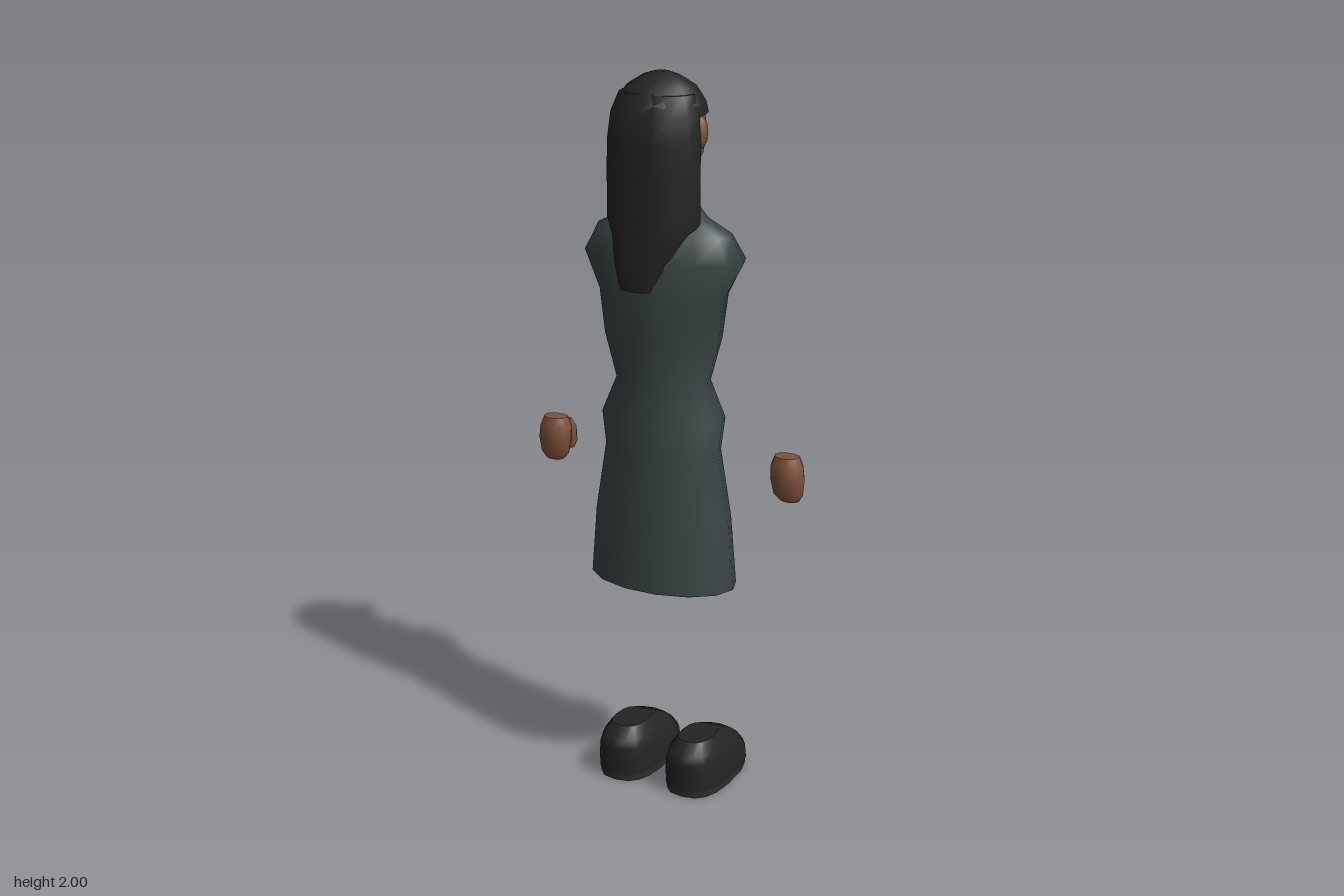
import * as THREE from 'three';

const mat = (name, color, side = THREE.FrontSide) => {
  const m = new THREE.MeshStandardMaterial({ color, side });
  m.name = name;
  return m;
};

// Stack of oval rings, bottom to top: [y, centreX, centreZ, halfWidth, backDepth, frontDepth].
// Power below 1 makes the ovals boxier. The front is -z.
function loft(rings, n = 14, power = 1) {
  const pos = [], idx = [];
  const bend = v => Math.sign(v) * Math.abs(v) ** power;
  const addRing = ([y, cx, cz, rx, back, front]) => {
    for (let j = 0; j < n; j++) {
      const a = (j / n) * Math.PI * 2, s = bend(Math.sin(a));
      pos.push(cx + rx * bend(Math.cos(a)), y, cz + s * (s > 0 ? back : front));
    }
  };
  rings.forEach(addRing);
  for (let i = 0; i < rings.length - 1; i++) {
    for (let j = 0; j < n; j++) {
      const a = i * n + j, b = i * n + (j + 1) % n;
      idx.push(a, a + n, b, b, a + n, b + n);
    }
  }
  // Flat end caps with their own vertices
  [[rings[0], false], [rings[rings.length - 1], true]].forEach(([r, top]) => {
    const start = pos.length / 3;
    addRing(r);
    pos.push(r[1], r[0], r[2]);
    for (let j = 0; j < n; j++) {
      const a = start + j, b = start + (j + 1) % n;
      idx.push(start + n, top ? b : a, top ? a : b);
    }
  });
  const g = new THREE.BufferGeometry();
  g.setAttribute('position', new THREE.Float32BufferAttribute(pos, 3));
  g.setIndex(idx);
  g.computeVertexNormals();
  return g;
}

// Thin cloth sheet: a fan of triangles around the first corner
function sheet(points) {
  const g = new THREE.BufferGeometry();
  g.setAttribute('position', new THREE.Float32BufferAttribute(points.flat(), 3));
  const idx = [];
  for (let i = 1; i < points.length - 1; i++) idx.push(0, i + 1, i);
  g.setIndex(idx);
  g.computeVertexNormals();
  return g;
}

export function createModel() {
  const model = new THREE.Group();
  model.name = 'figure';
  const dressMat = mat('dark slate cloth', 0x3a4444);
  const lapelMat = mat('slate lapel', 0x374141, THREE.DoubleSide);
  const skin = mat('brown skin', 0x80523c);
  const hairMat = mat('black hair', 0x252525);
  const shoeMat = mat('black leather', 0x242424);
  const soleMat = mat('dark sole', 0x2e3030);
  const shirtMat = mat('beige shirt', 0xa8a28c, THREE.DoubleSide);
  const eyeMat = mat('eye white', 0xb0b0b0);
  const lipMat = mat('dark lips', 0x5c3029);

  const add = (name, geo, material, x = 0, y = 0, z = 0) => {
    const m = new THREE.Mesh(geo, material);
    m.name = name;
    m.position.set(x, y, z);
    model.add(m);
    return m;
  };

  // Dress with pinched waist and wide shoulders
  add('dress', loft([
    [0.61, 0, 0.04, 0.215, 0.135, 0.135],
    [0.80, 0, 0.04, 0.198, 0.133, 0.128],
    [0.99, 0, 0.04, 0.166, 0.12, 0.112],
    [1.08, 0, 0.04, 0.178, 0.12, 0.12],
    [1.18, 0, 0.04, 0.132, 0.105, 0.105],
    [1.30, 0, 0.04, 0.166, 0.12, 0.12],
    [1.42, 0, 0.04, 0.182, 0.123, 0.133],
    [1.52, 0, 0.035, 0.235, 0.122, 0.13],
    [1.585, 0, 0.035, 0.2, 0.095, 0.09],
    [1.62, 0, 0.035, 0.13, 0.07, 0.075],
    [1.65, 0, 0.03, 0.085, 0.05, 0.062],
  ], 14), dressMat);

  // Neck and head
  add('neck', new THREE.CylinderGeometry(0.05, 0.056, 0.16, 12), skin, 0, 1.68, 0.028);
  add('head', loft([
    [1.725, 0, 0.02, 0.045, 0.045, 0.055],
    [1.745, 0, 0.02, 0.075, 0.06, 0.072],
    [1.79, 0, 0.015, 0.097, 0.08, 0.073],
    [1.85, 0, 0.015, 0.108, 0.085, 0.076],
    [1.92, 0, 0.02, 0.1, 0.085, 0.07],
  ], 16), skin);
  add('nose', loft([
    [1.80, 0, -0.05, 0.016, 0.01, 0.022],
    [1.825, 0, -0.05, 0.02, 0.01, 0.067],
    [1.845, 0, -0.05, 0.014, 0.01, 0.045],
    [1.885, 0, -0.05, 0.008, 0.01, 0.018],
  ], 8), skin);
  add('lips', new THREE.BoxGeometry(0.046, 0.015, 0.009), lipMat, 0, 1.775, -0.055);

  // Hair: cap over the crown and a long fall down the back
  add('hairCap', loft([
    [1.895, 0, 0.05, 0.124, 0.115, 0.114],
    [1.925, 0, 0.05, 0.12, 0.108, 0.102],
    [1.965, 0, 0.05, 0.094, 0.078, 0.078],
    [1.99, 0, 0.05, 0.052, 0.042, 0.045],
    [2.0, 0, 0.05, 0.02, 0.015, 0.02],
  ], 12), hairMat);
  add('hairFall', loft([
    [1.44, -0.015, 0.14, 0.058, 0.025, 0.01],
    [1.5, -0.01, 0.13, 0.078, 0.043, 0.01],
    [1.58, -0.002, 0.095, 0.108, 0.077, 0.01],
    [1.62, -0.002, 0.075, 0.13, 0.098, 0.004],
    [1.75, -0.002, 0.075, 0.13, 0.1, 0.004],
    [1.83, 0, 0.075, 0.13, 0.099, 0.004],
    [1.9, 0, 0.07, 0.122, 0.097, 0.004],
    [1.95, 0, 0.065, 0.105, 0.072, 0.004],
  ], 14, 0.85), hairMat);

  // Dark lapel on one side of the chest
  add('lapel', sheet([[0.045, 1.61, -0.068], [0.015, 1.5, -0.108],
    [0.07, 1.34, -0.096], [0.122, 1.53, -0.098]]), lapelMat);

  for (const s of [1, -1]) {
    const side = s > 0 ? 'left' : 'right';

    // Ears, eyes and brows
    add(side + 'Ear', new THREE.SphereGeometry(1, 8, 6), skin, s * 0.112, 1.85, 0.042)
      .scale.set(0.016, 0.042, 0.024);
    const facePlate = (name, w, h, y, z, material, tilt = 0) => {
      const m = add(side + name, new THREE.BoxGeometry(w, h, 0.008), material, s * 0.042, y, z);
      m.rotation.set(0, -s * 0.27, s * tilt);
    };
    facePlate('Eye', 0.032, 0.012, 1.857, -0.053, eyeMat);
    facePlate('Pupil', 0.011, 0.012, 1.857, -0.0545, hairMat);
    facePlate('Brow', 0.044, 0.008, 1.879, -0.054, hairMat, 0.15);

    // Pointed shirt collar
    add(side + 'Collar', sheet([[s * 0.03, 1.55, -0.098], [s * 0.012, 1.6, -0.06],
      [s * 0.06, 1.635, -0.052], [s * 0.072, 1.58, -0.1], [s * 0.04, 1.42, -0.101]]), shirtMat);

    // Hand with thumb
    add(side + 'Hand', loft([
      [0.885, s * 0.365, 0.008, 0.026, 0.02, 0.018],
      [0.905, s * 0.362, 0.01, 0.042, 0.034, 0.026],
      [0.95, s * 0.36, 0.012, 0.049, 0.042, 0.033],
      [0.985, s * 0.358, 0.012, 0.046, 0.04, 0.032],
      [1.01, s * 0.358, 0.012, 0.036, 0.03, 0.024],
    ], 10), skin);
    add(side + 'Thumb', loft([
      [0.915, s * 0.327, -0.018, 0.008, 0.01, 0.008],
      [0.935, s * 0.326, -0.018, 0.015, 0.014, 0.015],
      [0.975, s * 0.327, -0.016, 0.015, 0.014, 0.015],
      [1.0, s * 0.333, -0.008, 0.01, 0.012, 0.012],
    ], 8), skin);

    // Shoe and sole
    const cx = s * 0.107;
    add(side + 'Sole', loft([
      [0, cx, 0, 0.08, 0.134, 0.172],
      [0.02, cx, 0, 0.082, 0.136, 0.176],
    ], 16, 0.75), soleMat);
    add(side + 'Shoe', loft([
      [0.02, cx, 0, 0.083, 0.138, 0.178],
      [0.065, cx, 0, 0.083, 0.14, 0.168],
      [0.1, cx, 0.01, 0.077, 0.131, 0.145],
      [0.125, cx, 0.02, 0.068, 0.117, 0.12],
      [0.155, cx, 0.035, 0.048, 0.066, 0.065],
    ], 16, 0.75), shoeMat);
  }
  return model;
}
